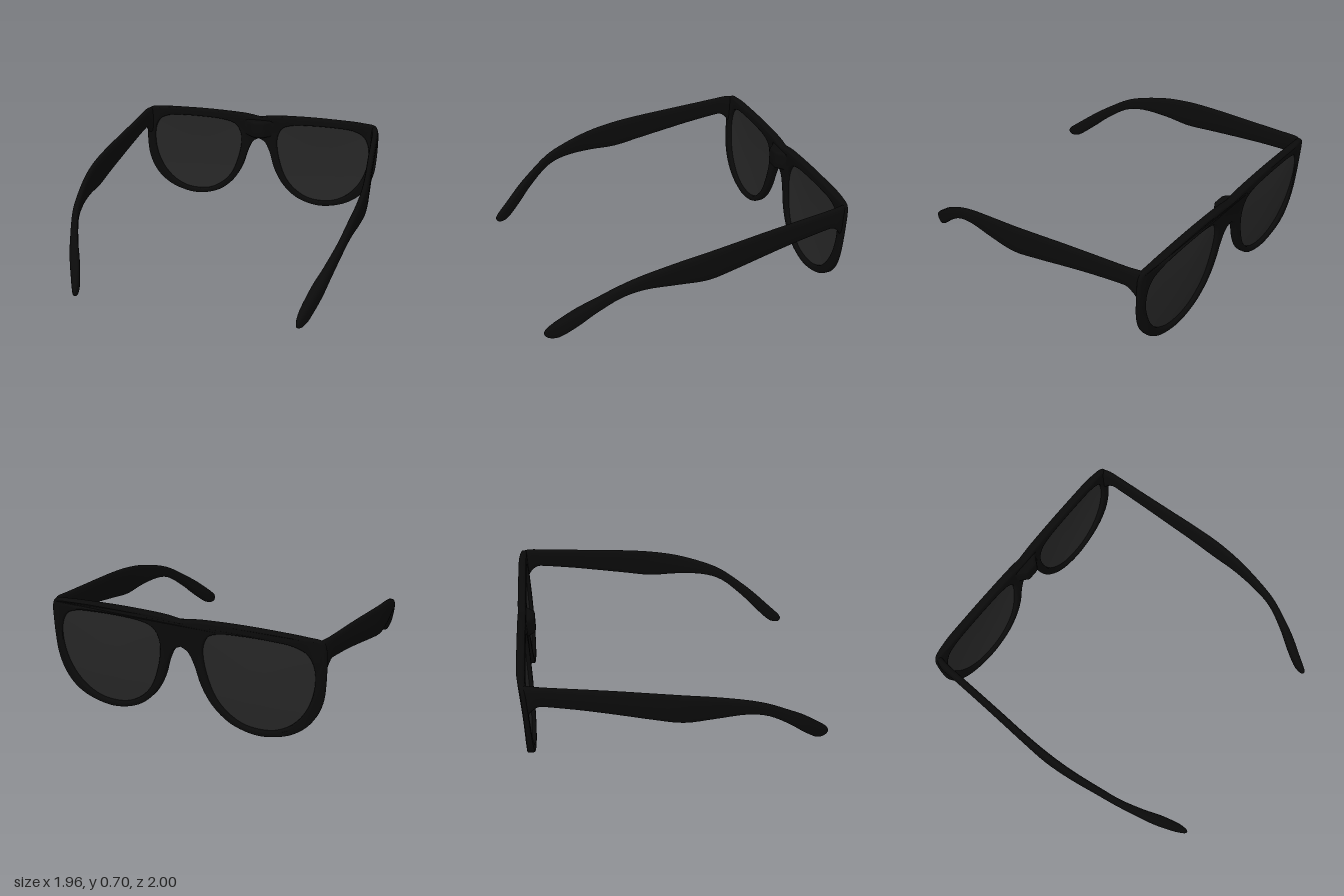
import * as THREE from 'three';
import { toCreasedNormals } from 'three/addons/utils/BufferGeometryUtils.js';

const frameMat = new THREE.MeshStandardMaterial({ color: 0x0a0a0a });
const lensMat = new THREE.MeshStandardMaterial({ color: 0x262626, side: THREE.DoubleSide });

const spline = (pts, n, closed = false) => {
  const c = new THREE.CatmullRomCurve3(pts.map(([x, y]) => new THREE.Vector3(x, y, 0)), closed, 'centripetal');
  const out = c.getPoints(n).map(p => new THREE.Vector2(p.x, p.y));
  if (closed) out.pop();
  return out;
};
const mirrored = pts => pts.map(p => new THREE.Vector2(-p.x, p.y)).reverse();

// Half outline of the front: bridge, nose side, bottom, outer side, brow
const halfOutline = spline([
  [0, 0.51], [0.045, 0.485], [0.085, 0.41], [0.13, 0.27], [0.2, 0.15], [0.3, 0.06], [0.4, 0.018],
  [0.51, 0.002], [0.62, 0.018], [0.72, 0.055], [0.81, 0.12], [0.875, 0.21], [0.91, 0.31],
  [0.922, 0.42], [0.925, 0.55], [0.92, 0.64], [0.897, 0.684], [0.8, 0.696], [0.6, 0.703],
  [0.4, 0.705], [0.2, 0.7], [0.1, 0.694], [0, 0.678],
], 110);

// Lens opening
const opening = spline([
  [0.142, 0.47], [0.15, 0.545], [0.185, 0.605], [0.26, 0.634], [0.4, 0.645], [0.6, 0.645],
  [0.73, 0.635], [0.81, 0.6], [0.85, 0.53], [0.86, 0.43], [0.84, 0.31], [0.79, 0.2],
  [0.71, 0.11], [0.61, 0.055], [0.51, 0.04], [0.4, 0.054], [0.3, 0.11], [0.22, 0.2], [0.165, 0.34],
], 64, true);

// The front leans: its top sits a little further forward than its bottom
const lean = y => -0.025 * y / 0.7;

function frontFrame() {
  const shape = new THREE.Shape([...halfOutline, ...mirrored(halfOutline).slice(1, -1)]);
  shape.holes.push(new THREE.Path(opening), new THREE.Path(mirrored(opening)));
  const bevel = 0.012, depth = 0.03;
  const geo = new THREE.ExtrudeGeometry(shape, {
    depth, bevelEnabled: true, bevelSize: bevel, bevelOffset: -bevel, bevelThickness: bevel, bevelSegments: 3,
  });
  const p = geo.attributes.position;
  for (let i = 0; i < p.count; i++) {
    const y = p.getY(i), z = p.getZ(i);
    // sweep the outer corners of the front face back
    const k = Math.max(0, (Math.abs(p.getX(i)) - 0.7) / 0.22);
    const sweep = z < depth / 2 ? 0.024 * k * k : 0;
    p.setZ(i, z - 0.961 + lean(y) + sweep);
  }
  return toCreasedNormals(geo, 0.6);
}

// Gently domed lens made of shrinking rings
function lens(side) {
  const rings = 6, n = opening.length, pos = [], idx = [];
  for (let r = 0; r <= rings; r++) {
    const s = 1.01 * (1 - r / rings);
    for (const q of opening) {
      const y = 0.36 + (q.y - 0.36) * s;
      pos.push(side * (0.505 + (q.x - 0.505) * s), y, -0.946 + lean(y) - 0.014 * (1 - s * s));
    }
  }
  for (let r = 0; r < rings; r++) for (let j = 0; j < n; j++) {
    const a = r * n + j, b = r * n + (j + 1) % n, c = a + n, d = b + n;
    if (side > 0) idx.push(a, b, c, b, d, c);
    else idx.push(a, c, b, b, c, d);
  }
  return surface(pos, idx);
}

function surface(pos, idx) {
  const geo = new THREE.BufferGeometry();
  geo.setAttribute('position', new THREE.Float32BufferAttribute(pos, 3));
  geo.setIndex(idx);
  geo.computeVertexNormals();
  return geo;
}

// Temple stations: z, top, bottom, outer x, inner x
const stations = [
  [-0.975, 0.68, 0.56, 0.9, 0.87], [-0.945, 0.686, 0.48, 0.917, 0.87], [-0.915, 0.685, 0.512, 0.925, 0.876],
  [-0.87, 0.68, 0.543, 0.929, 0.884],
  [-0.8, 0.672, 0.538, 0.933, 0.889], [-0.6, 0.652, 0.505, 0.945, 0.901], [-0.4, 0.632, 0.465, 0.958, 0.914],
  [-0.2, 0.61, 0.423, 0.972, 0.928], [0, 0.583, 0.386, 0.982, 0.934], [0.2, 0.546, 0.392, 0.972, 0.926],
  [0.4, 0.488, 0.388, 0.945, 0.9], [0.55, 0.425, 0.343, 0.918, 0.872], [0.7, 0.325, 0.23, 0.873, 0.815],
  [0.8, 0.25, 0.135, 0.838, 0.766], [0.9, 0.165, 0.047, 0.79, 0.727], [0.95, 0.122, 0.027, 0.765, 0.715],
  [0.985, 0.09, 0.032, 0.745, 0.714], [1, 0.066, 0.05, 0.734, 0.72],
];

function temple(side) {
  const curve = (u, v) => new THREE.CatmullRomCurve3(
    stations.map(s => new THREE.Vector3(s[0], s[u], s[v])), false, 'catmullrom', 0.5);
  const heights = curve(1, 2), widths = curve(3, 4);
  const n = 24, steps = 68, pos = [], idx = [];
  const round = v => Math.sign(v) * Math.pow(Math.abs(v), 0.65);
  for (let i = -1; i <= steps + 1; i++) {
    const t = Math.min(1, Math.max(0, i / steps));
    const h = heights.getPoint(t), w = widths.getPoint(t);
    const s = i < 0 || i > steps ? 0 : 0.5; // closed ends
    for (let j = 0; j < n; j++) {
      const a = j / n * Math.PI * 2;
      pos.push(
        side * ((w.y + w.z) / 2 + round(Math.cos(a)) * (w.y - w.z) * s),
        (h.y + h.z) / 2 + round(Math.sin(a)) * (h.y - h.z) * s, h.x);
    }
  }
  for (let i = 0; i < steps + 2; i++) for (let j = 0; j < n; j++) {
    const a = i * n + j, b = i * n + (j + 1) % n, c = a + n, d = b + n;
    if (side > 0) idx.push(a, b, c, b, d, c);
    else idx.push(a, c, b, b, c, d);
  }
  return surface(pos, idx);
}

// Raised block behind the bridge, drawn from above and extruded upward
function bridgeBlock() {
  const half = spline([[0, 0.075], [0.045, 0.072], [0.07, 0.05], [0.1, 0.024], [0.125, 0.015]], 16);
  const shape = new THREE.Shape([...mirrored(half), ...half.slice(1),
    new THREE.Vector2(0.125, 0), new THREE.Vector2(-0.125, 0)]);
  const geo = new THREE.ExtrudeGeometry(shape, {
    depth: 0.09, bevelEnabled: true, bevelSize: 0.02, bevelOffset: -0.02, bevelThickness: 0.02, bevelSegments: 4,
  });
  geo.rotateX(Math.PI / 2);
  geo.translate(0, 0.64, -0.96);
  return toCreasedNormals(geo, 0.6);
}

export function createModel() {
  const group = new THREE.Group();
  const add = (name, geo, mat) => {
    const mesh = new THREE.Mesh(geo, mat);
    mesh.name = name;
    group.add(mesh);
  };
  add('frontFrame', frontFrame(), frameMat);
  add('noseBridge', bridgeBlock(), frameMat);
  for (const [name, side] of [['left', 1], ['right', -1]]) {
    add(name + 'Lens', lens(side), lensMat);
    add(name + 'Temple', temple(side), frameMat);
  }
  return group;
}
